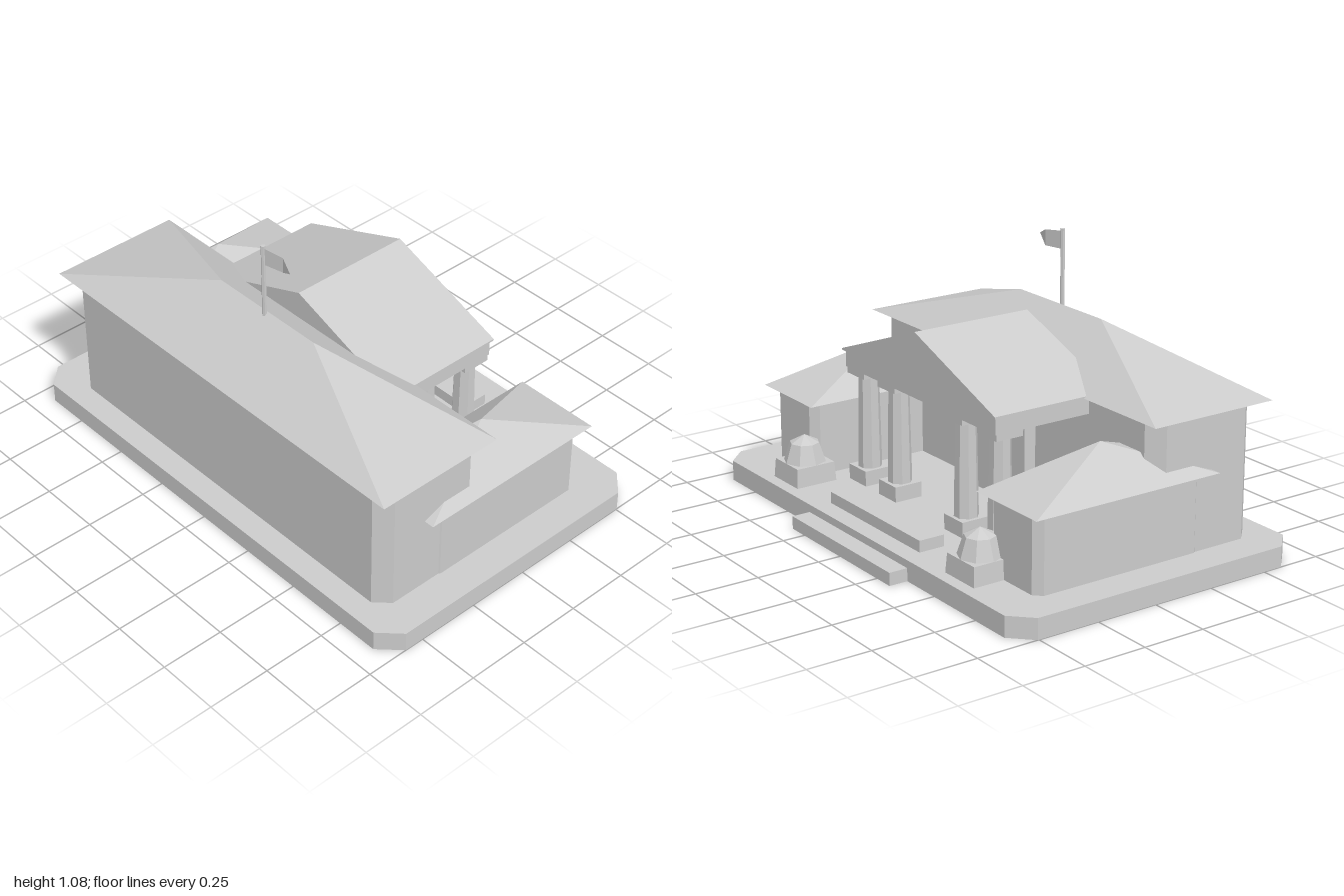
import * as THREE from 'three';

const stone = new THREE.MeshStandardMaterial({ color: 0xcccccc, side: THREE.DoubleSide });
stone.name = 'pale grey stone';

// Horizontal rectangle with cut corners, counter-clockwise from above
function ring(x0, x1, z0, z1, y, c = 0) {
  if (!c) return [[x1, y, z1], [x1, y, z0], [x0, y, z0], [x0, y, z1]];
  return [
    [x1 - c, y, z1], [x1, y, z1 - c], [x1, y, z0 + c], [x1 - c, y, z0],
    [x0 + c, y, z0], [x0, y, z0 + c], [x0, y, z1 - c], [x0 + c, y, z1],
  ];
}

// Flat-faced skin between two rings, with optional end caps
function loft(low, high, capLow, capHigh) {
  const p = [];
  const tri = (a, b, c) => {
    const [A, B, C] = [a, b, c].map((v) => new THREE.Vector3(...v));
    if (B.sub(A).cross(C.sub(A)).length() > 1e-7) p.push(...a, ...b, ...c);
  };
  const n = low.length;
  for (let i = 0; i < n; i++) {
    const j = (i + 1) % n;
    tri(low[i], low[j], high[j]);
    tri(low[i], high[j], high[i]);
  }
  for (let i = 1; i < n - 1; i++) {
    if (capLow) tri(low[0], low[i + 1], low[i]);
    if (capHigh) tri(high[0], high[i], high[i + 1]);
  }
  const g = new THREE.BufferGeometry();
  g.setAttribute('position', new THREE.Float32BufferAttribute(p, 3));
  g.computeVertexNormals();
  return g;
}

export function createModel() {
  const model = new THREE.Group();
  model.name = 'columnedHall';

  const add = (name, geometry, x = 0, y = 0, z = 0) => {
    const m = new THREE.Mesh(geometry, stone);
    m.name = name;
    m.position.set(x, y, z);
    model.add(m);
    return m;
  };
  const box = (name, x0, x1, y0, y1, z0, z1) =>
    add(name, new THREE.BoxGeometry(x1 - x0, y1 - y0, z1 - z0), (x0 + x1) / 2, (y0 + y1) / 2, (z0 + z1) / 2);
  const round = (name, rTop, rLow, y0, y1, x, z, sides = 8) => {
    const g = new THREE.CylinderGeometry(rTop, rLow, y1 - y0, sides).toNonIndexed();
    g.computeVertexNormals();
    return add(name, g, x, (y0 + y1) / 2, z);
  };

  // Terrace, open underneath
  add('terrace', loft(ring(-1, 1, -0.585, 0.66, 0, 0.08), ring(-1, 1, -0.585, 0.66, 0.08, 0.08), false, true));

  // Main hall and its hip roof
  add('hallWalls', loft(ring(-0.86, 0.86, 0.095, 0.565, 0.08, 0.055), ring(-0.86, 0.86, 0.095, 0.565, 0.6, 0.055)));
  add('hallRoof', loft(ring(-0.9, 0.9, 0.065, 0.6, 0.6), ring(-0.25, 0.25, 0.333, 0.333, 0.79), true));

  // Side wings with pyramid roofs
  for (const s of [1, -1]) {
    const [a, b] = s > 0 ? [0.585, 0.865] : [-0.865, -0.585];
    add('wingWalls', loft(ring(a, b, -0.41, 0.315, 0.08, 0.03), ring(a, b, -0.41, 0.315, 0.375, 0.03)));
    const c = s * 0.725;
    add('wingRoof', loft(ring(c - 0.175, c + 0.175, -0.44, 0.365, 0.375), ring(c, c, -0.0375, -0.0375, 0.527), true));
  }

  // Portico gable roof and beam
  const gable = new THREE.Shape(
    [[-0.5, 0.6], [0.5, 0.6], [0.5, 0.607], [0, 0.793], [-0.5, 0.607]].map(([x, y]) => new THREE.Vector2(x, y)));
  add('porticoRoof', new THREE.ExtrudeGeometry(gable, { depth: 0.505, bevelEnabled: false }), 0, 0, -0.325);
  box('porticoBeam', -0.49, 0.49, 0.535, 0.6, -0.315, 0.11);

  // Columns with plinths and capitals
  for (const x of [-0.43, -0.22, 0.22, 0.43]) {
    box('columnPlinth', x - 0.058, x + 0.058, 0.08, 0.14, -0.31, -0.194);
    round('columnShaft', 0.04, 0.048, 0.08, 0.515, x, -0.252).rotation.y = Math.PI / 8;
    box('columnCapital', x - 0.058, x + 0.058, 0.51, 0.536, -0.31, -0.194);
  }

  // Door and knob
  box('door', -0.17, 0.17, 0.03, 0.43, 0.045, 0.13);
  add('doorKnob', new THREE.IcosahedronGeometry(0.014), -0.03, 0.22, 0.035);

  // Entrance steps
  box('lowerStep', -0.333, 0.333, 0, 0.05, -0.66, -0.56);
  box('upperStep', -0.3, 0.3, 0.05, 0.125, -0.51, -0.405);

  // Urns on square pedestals
  for (const x of [-0.588, 0.588]) {
    const z = -0.45;
    add('urnPedestal', loft(
      ring(x - 0.087, x + 0.087, z - 0.087, z + 0.087, 0.08),
      ring(x - 0.082, x + 0.082, z - 0.082, z + 0.082, 0.155), false, true));
    round('urnBody', 0.058, 0.083, 0.155, 0.23, x, z);
    round('urnCap', 0, 0.058, 0.23, 0.26, x, z);
  }

  // Flagpole and waving pennant
  round('flagPole', 0.009, 0.009, 0.77, 1.08, 0, 0.343, 6);
  const f = [[0.005, 1.07, 0.343], [0.005, 1, 0.343], [0.085, 1, 0.325], [0.085, 1.062, 0.325], [0.145, 1.035, 0.345]];
  const flag = new THREE.BufferGeometry();
  flag.setAttribute('position', new THREE.Float32BufferAttribute([0, 1, 2, 0, 2, 3, 3, 2, 4].flatMap((i) => f[i]), 3));
  flag.computeVertexNormals();
  add('flag', flag);

  return model;
}
